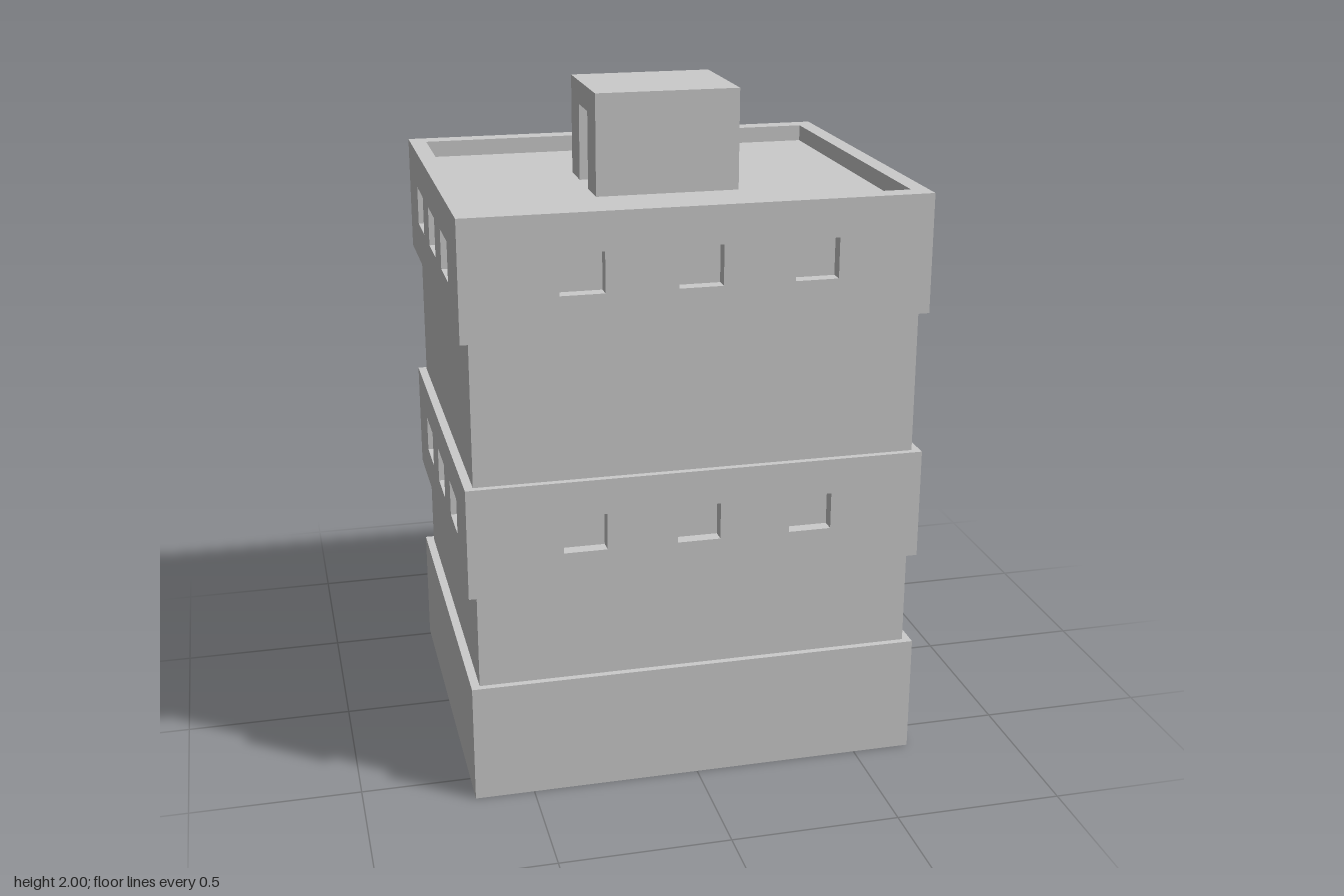
import * as THREE from 'three';

const material = new THREE.MeshStandardMaterial({ color: 0xcccccc, flatShading: true, side: THREE.DoubleSide });

function add(parent, name, geometry, x = 0, y = 0, z = 0) {
  const mesh = new THREE.Mesh(geometry, material);
  mesh.name = name;
  mesh.position.set(x, y, z);
  parent.add(mesh);
  return mesh;
}

function rect(path, x0, y0, x1, y1) {
  path.moveTo(x0, y0).lineTo(x1, y0).lineTo(x1, y1).lineTo(x0, y1).closePath();
  return path;
}

// Open shell through rectangular sections [halfWidth, halfDepth, height]
function rectShell(levels) {
  const corners = [[-1, 1], [1, 1], [1, -1], [-1, -1]];
  const positions = [];
  for (let i = 0; i < levels.length - 1; i++) {
    for (let k = 0; k < 4; k++) {
      const at = (level, c) => [corners[c % 4][0] * level[0], level[2], corners[c % 4][1] * level[1]];
      const a = at(levels[i], k), b = at(levels[i], k + 1);
      const c = at(levels[i + 1], k + 1), d = at(levels[i + 1], k);
      positions.push(...a, ...b, ...c, ...a, ...c, ...d);
    }
  }
  const geometry = new THREE.BufferGeometry();
  geometry.setAttribute('position', new THREE.Float32BufferAttribute(positions, 3));
  geometry.computeVertexNormals();
  return geometry;
}

// Box without its front face, reaching back from z = 0
function pocket(w, h, d) {
  const geometry = new THREE.BoxGeometry(w, h, d);
  const index = Array.from(geometry.index.array);
  index.splice(24, 6);
  geometry.setIndex(index);
  geometry.clearGroups();
  return geometry.translate(0, 0, -d / 2);
}

// Wall with three recessed windows, facing +z
function windowWall(halfWidth, y0, y1, spacing, w, sill, head) {
  const wall = new THREE.Group();
  wall.name = 'windowWall';
  const shape = rect(new THREE.Shape(), -halfWidth, y0, halfWidth, y1);
  for (const i of [-1, 0, 1]) {
    const x = i * spacing;
    shape.holes.push(rect(new THREE.Path(), x - w / 2, sill, x + w / 2, head));
    add(wall, 'windowRecess', pocket(w, head - sill, 0.04), x, (sill + head) / 2, 0);
  }
  add(wall, 'wallPanel', new THREE.ShapeGeometry(shape));
  return wall;
}

// Free-standing doorway slab with a flat canopy
function entrance(x) {
  const group = new THREE.Group();
  group.name = 'entrance';
  group.position.set(x, 0, 0);
  const shape = new THREE.Shape();
  const outline = [[-0.195, 0], [-0.105, 0], [-0.105, 0.21], [0.105, 0.21], [0.105, 0],
    [0.195, 0], [0.195, 0.29], [-0.195, 0.29]];
  shape.setFromPoints(outline.map(p => new THREE.Vector2(...p)));
  add(group, 'doorSurround',
    new THREE.ExtrudeGeometry(shape, { depth: 0.057, bevelEnabled: false }), 0, 0, -0.597);
  add(group, 'canopy', new THREE.BoxGeometry(0.433, 0.016, 0.094), 0, 0.298, -0.57);
  return group;
}

export function createModel() {
  const model = new THREE.Group();
  model.name = 'building';

  const HX = 0.675, HZ = 0.57, RX = 0.65, RZ = 0.55, PX = 0.625, PZ = 0.51, ROOF = 1.7;
  const body = new THREE.Group();
  body.name = 'body';
  body.position.z = 0.045;
  model.add(body);

  // Plain storeys and ledges, hollow and open below
  add(body, 'lowerStorey', rectShell([[HX, HZ, 0], [HX, HZ, 0.358], [RX, RZ, 0.358], [RX, RZ, 0.645], [HX, HZ, 0.645]]));
  add(body, 'middleStorey', rectShell([[HX, HZ, 0.976], [RX, RZ, 0.976], [RX, RZ, 1.4], [HX, HZ, 1.4]]));
  add(body, 'parapet', rectShell([[HX, HZ, 1.75], [PX, PZ, 1.75], [PX, PZ, ROOF]]));
  add(body, 'roof', new THREE.PlaneGeometry(2 * PX, 2 * PZ).rotateX(-Math.PI / 2), 0, ROOF, 0);

  // Projecting window bands on all four sides
  for (const [y0, y1, sill, head] of [[0.645, 0.976, 0.76, 0.87], [1.4, 1.75, 1.52, 1.638]]) {
    for (let side = 0; side < 4; side++) {
      const angle = side * Math.PI / 2;
      const along = side % 2 === 0;
      const wall = along
        ? windowWall(HX, y0, y1, 0.335, 0.127, sill, head)
        : windowWall(HZ, y0, y1, 0.285, 0.15, sill, head);
      const distance = along ? HZ : HX;
      wall.rotation.y = angle;
      wall.position.set(Math.sin(angle) * distance, 0, Math.cos(angle) * distance);
      body.add(wall);
    }
  }

  // Rooftop stair house, doorway cut into its right side
  const stairHouse = new THREE.Group();
  stairHouse.name = 'stairHouse';
  stairHouse.position.z = 0.047;
  model.add(stairHouse);
  const hx = 0.215, hz = 0.178, doorTop = 1.93;
  const plan = new THREE.Shape([[-hx, -hz], [hx, -hz], [hx, hz], [-hx, hz], [-hx, 0.063],
    [-hx + 0.055, 0.063], [-hx + 0.055, -0.063], [-hx, -0.063]].map(p => new THREE.Vector2(...p)));
  const walls = new THREE.ExtrudeGeometry(plan, { depth: doorTop - ROOF, bevelEnabled: false });
  add(stairHouse, 'stairHouseWalls', walls.rotateX(-Math.PI / 2), 0, ROOF, 0);
  add(stairHouse, 'stairHouseTop', new THREE.BoxGeometry(2 * hx, 2 - doorTop, 2 * hz), 0, (2 + doorTop) / 2, 0);

  // Two entrances at the back
  for (const x of [-0.299, 0.278]) model.add(entrance(x));

  return model;
}
